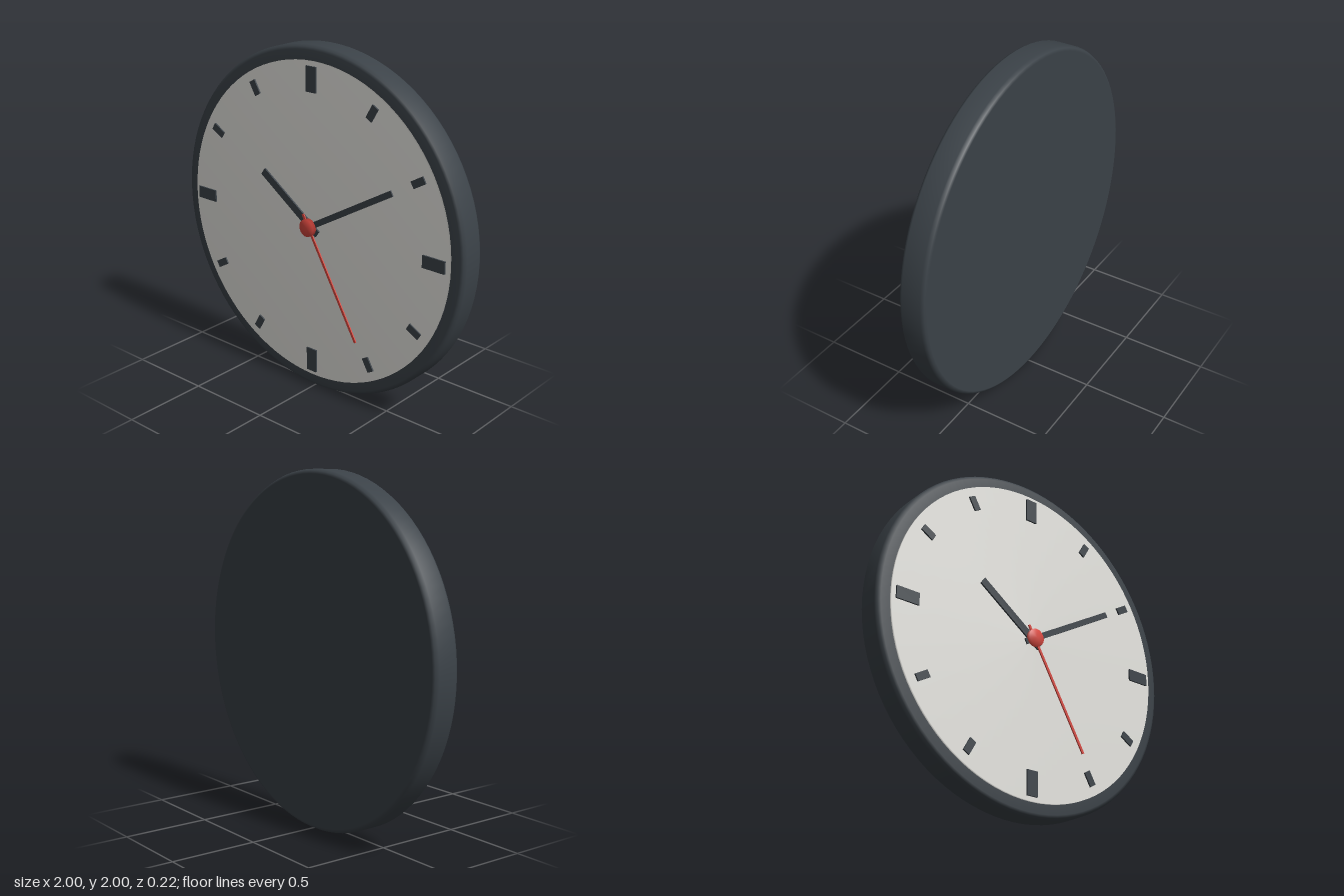
import * as THREE from 'three';

const material = (name, color) => new THREE.MeshStandardMaterial({ name, color });

export function createModel() {
  const dark = material('charcoal', 0x3b4248);
  const pale = material('offWhite', 0xeae9e4);
  const red = material('red', 0xd9483f);

  const clock = new THREE.Group();
  clock.name = 'wallClock';
  const face = new THREE.Group(); // centred on the clock axis
  face.name = 'clockBody';
  face.position.y = 1;
  clock.add(face);

  const add = (name, geometry, mat) => {
    const mesh = new THREE.Mesh(geometry, mat);
    mesh.name = name;
    face.add(mesh);
    return mesh;
  };

  // Solid of revolution about z; profile is [radius, z] from back to front
  const disc = (name, profile, mat, segments = 96) =>
    add(name, new THREE.LatheGeometry(profile.map(([r, z]) => new THREE.Vector2(r, z)), segments)
      .rotateX(Math.PI / 2), mat);

  // Thin bar along a clock direction (degrees clockwise from twelve)
  const bar = (name, angle, from, to, width, back, front, mat) => {
    const geometry = new THREE.BoxGeometry(width, to - from, front - back);
    geometry.translate(0, (from + to) / 2, (back + front) / 2);
    add(name, geometry, mat).rotation.z = -THREE.MathUtils.degToRad(angle);
  };

  // Case with softened edges
  disc('case', [
    [0, -0.11], [0.975, -0.11], [0.99, -0.104], [1, -0.085],
    [1, 0.025], [0.99, 0.042], [0.975, 0.048], [0.9, 0.048], [0, 0.048],
  ], dark);

  // Dial, softly shaded across its front
  disc('dial', [[0, 0.045], [0.92, 0.045], [0.92, 0.061], [0, 0.061]], pale);

  // Hour markers: larger at the quarters
  for (let i = 0; i < 12; i++) {
    const [length, width] = i % 3 === 0 ? [0.14, 0.07] : [0.084, 0.042];
    bar('hourMarker', i * 30, 0.825 - length / 2, 0.825 + length / 2, width, 0.06, 0.07, dark);
  }

  // Hands, stacked forward
  bar('hourHand', 305, -0.06, 0.43, 0.046, 0.068, 0.078, dark);
  bar('minuteHand', 60, -0.065, 0.65, 0.034, 0.079, 0.087, dark);
  bar('secondHand', 150, -0.08, 0.685, 0.015, 0.088, 0.095, red);

  // Centre post and cap
  disc('centrePost', [[0, 0.06], [0.02, 0.06], [0.02, 0.09], [0, 0.09]], dark, 24);
  disc('centreCap', [[0, 0.085], [0.05, 0.085], [0.05, 0.11], [0, 0.11]], red, 32);

  return clock;
}
